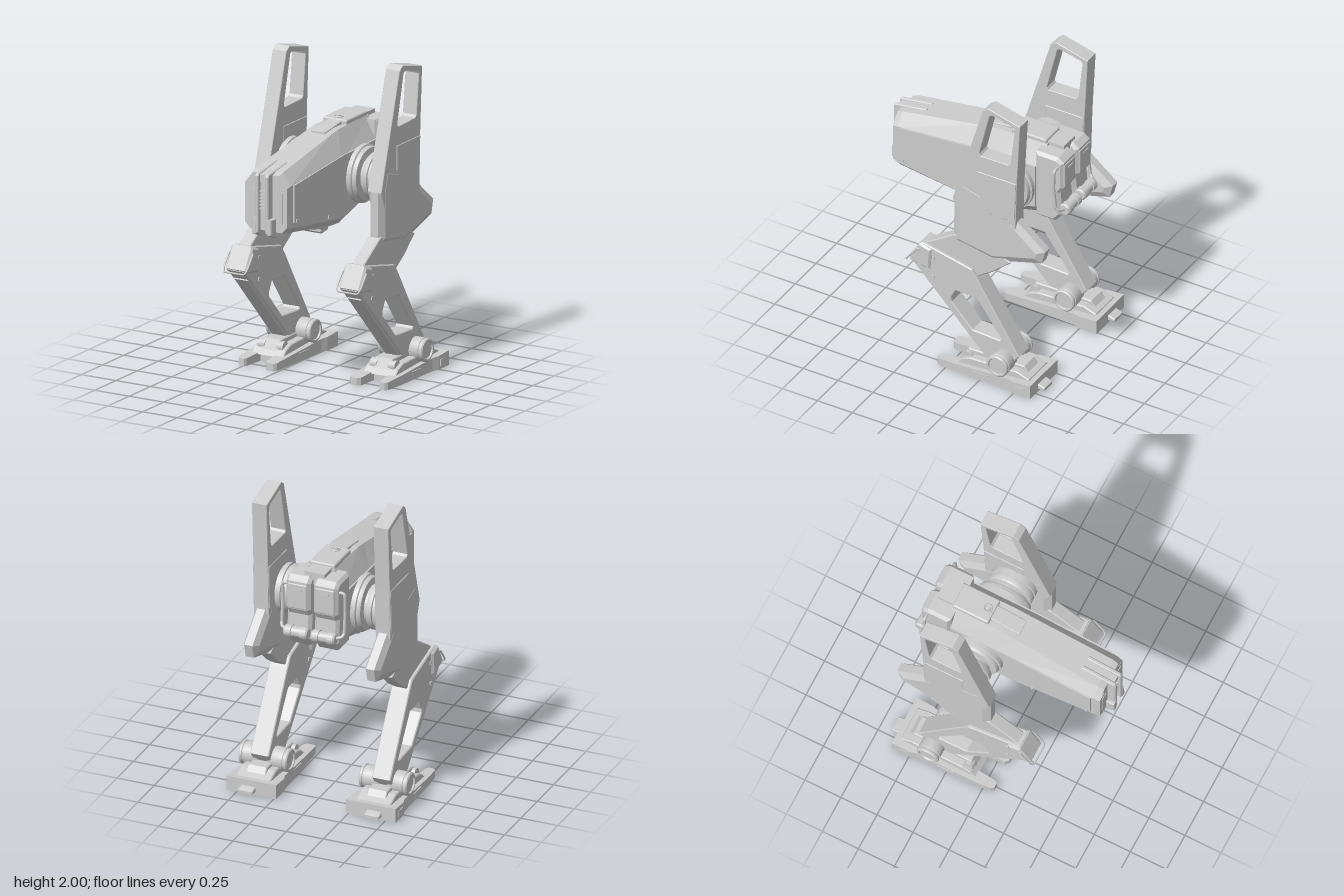
import * as THREE from 'three';
import { toCreasedNormals } from 'three/addons/utils/BufferGeometryUtils.js';
import { RoundedBoxGeometry } from 'three/addons/geometries/RoundedBoxGeometry.js';

const grey = new THREE.MeshStandardMaterial({ color: 0xcccccc });
grey.name = 'light grey';

const V = (x, y, z) => new THREE.Vector3(x, y, z);

function add(parent, name, geo, x = 0, y = 0, z = 0) {
  const mesh = new THREE.Mesh(geo, grey);
  mesh.name = name;
  mesh.position.set(x, y, z);
  parent.add(mesh);
  return mesh;
}

const box = (w, h, d) => new THREE.BoxGeometry(w, h, d);

// Side profile given as [z, y] points, extruded to a width along x and centred on x = 0
function plate(pts, width, { hole, bevel = 0.006, bevelDepth = bevel } = {}) {
  const toV2 = (list) => list.map(([a, b]) => new THREE.Vector2(a, b));
  const shape = new THREE.Shape(toV2(pts));
  if (hole) shape.holes.push(new THREE.Path(toV2(hole)));
  const depth = width - 2 * bevelDepth;
  const geo = new THREE.ExtrudeGeometry(shape, {
    depth, bevelEnabled: bevel > 0, bevelSize: bevel, bevelThickness: bevelDepth,
    bevelOffset: -bevel, bevelSegments: 1,
  });
  return geo.translate(0, 0, -depth / 2).rotateY(-Math.PI / 2);
}

// Cylinder-like part turned around the x axis from [radius, x] points; side = -1 mirrors it
function turned(pts, side = 1, sides = 40) {
  const geo = new THREE.LatheGeometry(pts.map(([r, h]) => new THREE.Vector2(r, h)), sides);
  return toCreasedNormals(geo.rotateZ(-side * Math.PI / 2), 0.5);
}

// Flat-faced solid through sections running front to back, each an anticlockwise [x, y] ring
function loft(sections) {
  const pos = [];
  const tri = (...v) => v.forEach((p) => pos.push(...p));
  const rings = sections.map(({ z, ring }) => ring.map(([x, y]) => [x, y, z]));
  const n = rings[0].length;
  for (let s = 0; s + 1 < rings.length; s++) {
    const f = rings[s], b = rings[s + 1];
    for (let i = 0; i < n; i++) {
      const j = (i + 1) % n;
      tri(f[i], b[i], b[j]);
      tri(f[i], b[j], f[j]);
    }
  }
  const first = rings[0], last = rings[rings.length - 1];
  for (let i = 1; i + 1 < n; i++) {
    tri(first[0], first[i], first[i + 1]);
    tri(last[0], last[i + 1], last[i]);
  }
  const geo = new THREE.BufferGeometry();
  geo.setAttribute('position', new THREE.Float32BufferAttribute(pos, 3));
  geo.computeVertexNormals();
  return geo;
}

const tube = (pts, r) => new THREE.TubeGeometry(
  new THREE.CatmullRomCurve3(pts, false, 'catmullrom', 0.1), 40, r, 8);

function makeBody() {
  const body = new THREE.Group();
  body.name = 'body';

  // Eight-sided hull: half width, top half width, then the four heights
  const section = (z, w, t, top, shoulder, low, bottom) => ({
    z, ring: [[t * 1.2, bottom], [w, low], [w, shoulder], [t, top],
      [-t, top], [-w, shoulder], [-w, low], [-t * 1.2, bottom]],
  });
  add(body, 'hull', loft([
    section(0.61, 0.152, 0.095, 1.445, 1.37, 1.12, 1.08),
    section(0.57, 0.158, 0.1, 1.46, 1.38, 1.11, 1.07),
    section(0, 0.16, 0.09, 1.555, 1.43, 1.03, 0.985),
    section(-0.1, 0.16, 0.09, 1.57, 1.43, 1.04, 0.99),
    section(-0.46, 0.16, 0.085, 1.575, 1.44, 1.15, 1.08),
  ]));

  // Nose: twin fins with a grille column between them, held by a wider bracket below
  const finProfile = [[0.665, 1.44], [0.655, 1.455], [0.43, 1.49], [0.43, 1.3], [0.56, 1.08], [0.665, 1.08]];
  for (const s of [-1, 1]) {
    add(body, 'noseFin', plate(finProfile, 0.025), s * 0.036, 0, 0);
    add(body, 'noseBracket', plate([[0.665, 1.17], [0.55, 1.17], [0.55, 1.05], [0.6, 1.04], [0.668, 1.07]], 0.035),
      s * 0.053, 0, 0);
  }
  add(body, 'noseColumn', box(0.06, 0.36, 0.1), 0, 1.27, 0.585);
  for (let i = 0; i < 6; i++) add(body, 'noseSlat', box(0.045, 0.01, 0.02), 0, 1.23 + i * 0.022, 0.64);
  add(body, 'noseCap', plate([[0.645, 1.448], [0.43, 1.483], [0.43, 1.4], [0.645, 1.4]], 0.055), 0, 0, 0);

  // Underside
  add(body, 'keel', plate([[0.5, 1.08], [0.48, 1.06], [0.1, 0.98], [-0.1, 0.97], [-0.2, 1.05]], 0.2));
  add(body, 'bellyBox', plate([[0.095, 1.01], [0.095, 0.955], [0.075, 0.94], [0.005, 0.95], [0.005, 1.01]], 0.16));

  // Roof hatch
  add(body, 'roofStrip', plate([[0, 1.54], [0, 1.565], [-0.2, 1.592], [-0.2, 1.54]], 0.1, { bevel: 0.004 }));
  add(body, 'roofHatch', new RoundedBoxGeometry(0.17, 0.07, 0.25, 2, 0.012), 0, 1.567, -0.325);
  add(body, 'rearHatch', box(0.135, 0.08, 0.13), 0, 1.545, -0.5);
  add(body, 'hatchRing', new THREE.TorusGeometry(0.025, 0.006, 8, 24).rotateX(Math.PI / 2), 0, 1.604, -0.245);
  add(body, 'hatchKnob', new THREE.CylinderGeometry(0.016, 0.02, 0.03, 20), 0, 1.6, -0.245);

  for (const s of [-1, 1]) {
    // Raised panel on each flank
    const quad = (z, low, high) => {
      const ring = [[0.14, low], [0.169, low], [0.169, high], [0.14, high]].map(([x, y]) => [s * x, y]);
      return { z, ring: s < 0 ? ring.reverse() : ring };
    };
    add(body, 'sidePanel', loft([quad(0.55, 1.14, 1.38), quad(-0.02, 1.04, 1.43), quad(-0.42, 1.14, 1.44)]));
    add(body, 'panelBolt', box(0.01, 0.02, 0.012), s * 0.172, 1.15, 0.525);
    add(body, 'panelBolt', box(0.01, 0.02, 0.012), s * 0.172, 1.08, 0.15);

    // Nose cheek panels and slots
    add(body, 'cheekPlate', box(0.045, 0.2, 0.012), s * 0.1, 1.24, 0.608);
    add(body, 'cheekSlot', box(0.035, 0.012, 0.01), s * 0.115, 1.39, 0.608).rotation.z = -s * 0.5;

    // Hip joint with stepped rings
    add(body, 'hipJoint', turned([[0.001, 0.1], [0.17, 0.1], [0.17, 0.17], [0.186, 0.175], [0.186, 0.205],
      [0.175, 0.21], [0.175, 0.22], [0.168, 0.235], [0.125, 0.24], [0.125, 0.26], [0.15, 0.265], [0.155, 0.275],
      [0.155, 0.3], [0.145, 0.303], [0.145, 0.312], [0.155, 0.315], [0.155, 0.345], [0.14, 0.35],
      [0.14, 0.38], [0.001, 0.38]], s), 0, 1.27, -0.235);

    // Rear pack with roller and grab rail
    add(body, 'rearPack', plate([[-0.42, 1.56], [-0.58, 1.56], [-0.62, 1.53], [-0.62, 1.34], [-0.595, 1.3],
      [-0.61, 1.14], [-0.56, 1.08], [-0.42, 1.08]], 0.165, { bevel: 0.02 }), s * 0.092, 0, 0);
    add(body, 'packLid', new RoundedBoxGeometry(0.13, 0.17, 0.02, 2, 0.008), s * 0.092, 1.43, -0.616);
    add(body, 'packSlot', box(0.06, 0.01, 0.01), s * 0.092, 1.48, -0.625);
    add(body, 'packRoller', turned([[0.001, -0.08], [0.032, -0.08], [0.04, -0.07], [0.04, -0.03], [0.034, -0.028],
      [0.034, 0.028], [0.04, 0.03], [0.04, 0.07], [0.032, 0.08], [0.001, 0.08]], 1, 24), s * 0.092, 1.19, -0.63);
    add(body, 'grabRail', tube([V(s * 0.15, 1.49, -0.58), V(s * 0.2, 1.49, -0.58), V(s * 0.21, 1.475, -0.58),
      V(s * 0.21, 1.36, -0.575), V(s * 0.21, 1.22, -0.59), V(s * 0.2, 1.2, -0.61), V(s * 0.15, 1.19, -0.63)], 0.011));
  }
  return body;
}

function makeFoot(s) {
  const foot = new THREE.Group();
  foot.name = 'foot';
  const X = s * 0.405;

  // Forked sole, its top sloping evenly down from heel to toes
  const outline = [[0.235, -0.62], [0.235, -0.5], [0.25, -0.45], [0.26, -0.07], [0.265, 0.05], [0.28, 0.07],
    [0.325, 0.07], [0.345, 0.05], [0.35, -0.09], [0.47, -0.09], [0.48, 0.05], [0.49, 0.07], [0.525, 0.07],
    [0.54, 0.05], [0.55, -0.07], [0.555, -0.45], [0.57, -0.5], [0.57, -0.62]];
  const sole = new THREE.ExtrudeGeometry(new THREE.Shape(outline.map(([x, z]) => new THREE.Vector2(s * x, -z))),
    { depth: 0.09, bevelEnabled: false }).rotateX(-Math.PI / 2);
  const p = sole.attributes.position;
  for (let i = 0; i < p.count; i++) {
    if (p.getY(i) > 0.05) p.setY(i, 0.048 + 0.068 * (0.07 - p.getZ(i)));
  }
  sole.computeVertexNormals();
  add(foot, 'sole', sole);

  // Heel tab, instep and toe hinge
  add(foot, 'heelTab', plate([[-0.6, 0.06], [-0.64, 0.05], [-0.668, 0.04], [-0.668, 0.02], [-0.6, 0.015]], 0.1), s * 0.425, 0, 0);
  add(foot, 'instep', plate([[-0.06, 0.05], [-0.1, 0.09], [-0.16, 0.115], [-0.5, 0.13], [-0.58, 0.1], [-0.6, 0.05]], 0.23), X, 0, 0);
  add(foot, 'instepBlock', plate([[-0.09, 0.08], [-0.12, 0.145], [-0.3, 0.15], [-0.52, 0.15], [-0.57, 0.08]], 0.13), X, 0, 0);
  for (const k of [-1, 1]) {
    add(foot, 'toeHinge', turned([[0.001, -0.025], [0.035, -0.025], [0.035, 0.025], [0.001, 0.025]], 1, 20),
      X + k * 0.065, 0.1, -0.13);
    add(foot, 'soleInset', plate([[-0.2, 0.055], [-0.31, 0.055], [-0.29, 0.02], [-0.22, 0.02]], 0.008, { bevel: 0 }),
      X + k * 0.15, 0, 0);
    add(foot, 'heelInset', box(0.008, 0.045, 0.06), X + k * 0.165, 0.04, -0.545);
    // Ankle drums either side of the shin
    add(foot, 'ankleDrum', turned([[0.001, 0.03], [0.07, 0.03], [0.075, 0.04], [0.075, 0.13], [0.07, 0.133],
      [0.07, 0.14], [0.075, 0.143], [0.075, 0.155], [0.068, 0.162], [0.058, 0.162], [0.054, 0.152],
      [0.001, 0.152]], k), X, 0.154, -0.377);
  }
  return foot;
}

function makeLeg(s) {
  const leg = new THREE.Group();
  leg.name = s > 0 ? 'leftLeg' : 'rightLeg';
  const X = s * 0.41;

  // Tall hip fin with a window
  add(leg, 'hipFin', plate([[-0.217, 1.97], [-0.255, 1.998], [-0.483, 1.94], [-0.46, 1.5], [-0.45, 1.15],
    [-0.05, 1.1], [0, 1.236]], 0.1, {
    bevel: 0.003,
    hole: [[-0.265, 1.945], [-0.285, 1.955], [-0.435, 1.92], [-0.445, 1.9], [-0.415, 1.64], [-0.4, 1.625],
      [-0.2, 1.62], [-0.19, 1.635]] }), X, 0, 0);
  add(leg, 'finSlot', box(0.065, 0.012, 0.012), X, 1.925, -0.227);

  // Faceted hip armour running to a point at the rear
  add(leg, 'hipArmour', plate([[0, 1.236], [0.002, 0.9], [-0.286, 0.85], [-0.627, 0.95], [-0.65, 1.04],
    [-0.452, 1.2], [-0.452, 1.28], [-0.05, 1.4]], 0.104, { bevel: 0.045, bevelDepth: 0.025 }), X, 0, 0);
  for (const k of [-1, 1]) {
    add(leg, 'finPanel', plate([[-0.18, 1.5], [-0.455, 1.5], [-0.445, 1.21], [-0.26, 1.21], [-0.18, 1.34]],
      0.009, { bevel: 0.003 }), X + k * 0.05, 0, 0);
  }

  // Thigh link
  add(leg, 'thigh', plate([[0.0, 0.95], [0.2, 0.82], [0.12, 0.72], [-0.165, 0.69], [-0.286, 0.77],
    [-0.41, 0.88], [-0.2, 1.0]], 0.085), X, 0, 0);

  // Shin with an opening
  add(leg, 'shin', plate([[0.217, 0.828], [-0.143, 0.748], [-0.19, 0.68], [-0.483, 0.207], [-0.41, 0.11],
    [-0.25, 0.12], [0.297, 0.68]], 0.125, {
    hole: [[-0.03, 0.546], [-0.18, 0.541], [-0.355, 0.3], [-0.345, 0.286], [-0.15, 0.295], [0.0, 0.455],
      [0.003, 0.48]] }), X, 0, 0);
  add(leg, 'shinPlate', plate([[0.24, 0.61], [0.22, 0.63], [-0.24, 0.15], [-0.22, 0.13]], 0.1, { bevel: 0.004 }), X, 0, 0);

  // Knee cap and its guard rail
  add(leg, 'kneeCap', plate([[0.225, 0.825], [0.3, 0.69], [0.285, 0.668], [0.15, 0.65], [0.14, 0.8]], 0.155,
    { bevel: 0.012 }), X, 0, 0);
  add(leg, 'kneeGuard', tube([V(X - 0.07, 0.785, 0.22), V(X - 0.084, 0.78, 0.235), V(X - 0.084, 0.7, 0.3),
    V(X - 0.07, 0.672, 0.32), V(X + 0.07, 0.672, 0.32), V(X + 0.084, 0.7, 0.3), V(X + 0.084, 0.78, 0.235),
    V(X + 0.07, 0.785, 0.22)], 0.006));
  for (const k of [-1, 1]) {
    for (const y of [0.6, 0.74]) add(leg, 'shinBolt', box(0.012, 0.02, 0.02), X + k * 0.064, y, 0.13);
  }

  leg.add(makeFoot(s));
  return leg;
}

export function createModel() {
  const walker = new THREE.Group();
  walker.name = 'walker';
  walker.add(makeBody(), makeLeg(1), makeLeg(-1));
  return walker;
}
